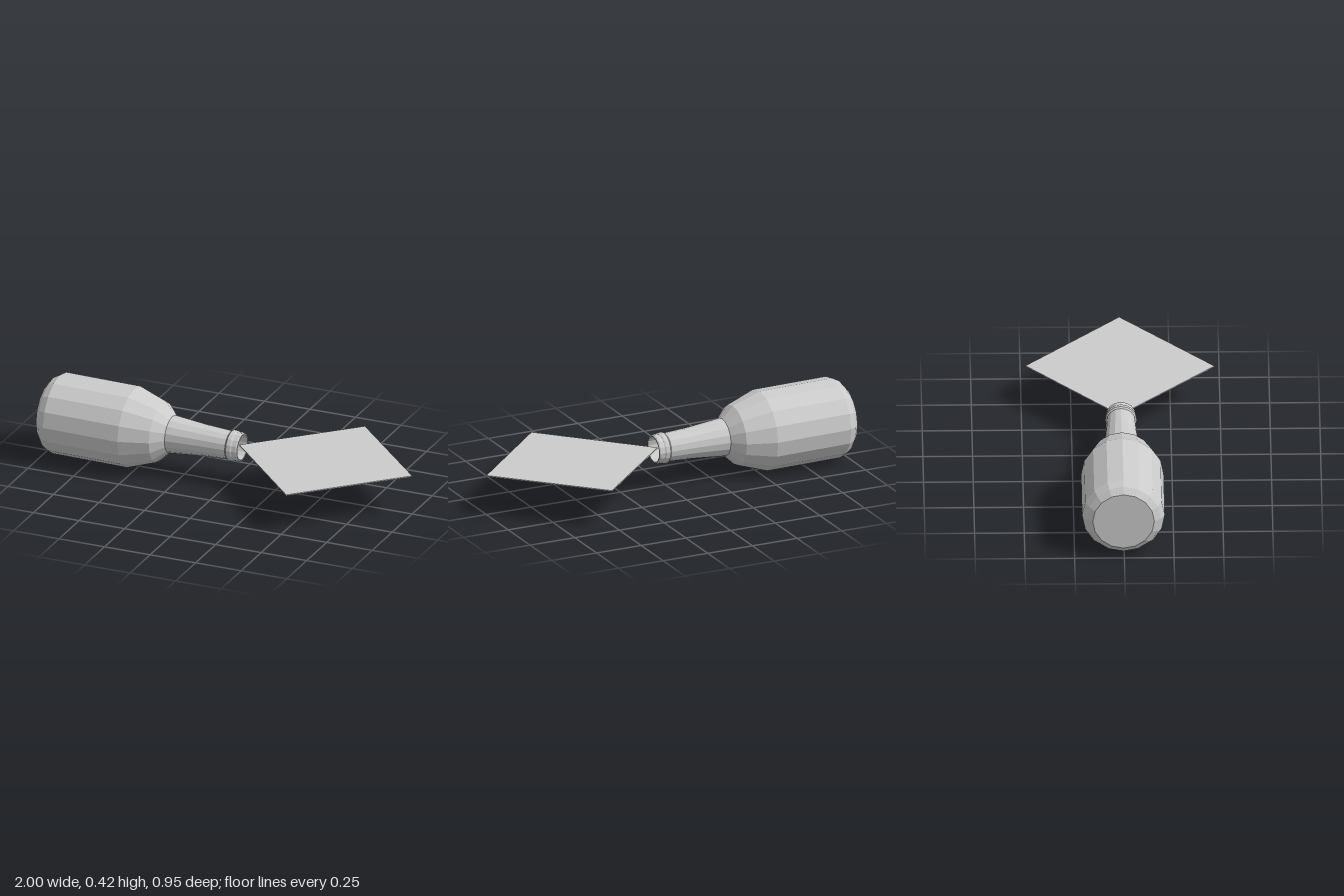
import * as THREE from 'three';

export function createModel() {
  const model = new THREE.Group();

  // Hollow bottle: [position along axis, radius], base to mouth, then the inside of the lip
  const profile = [
    [-1.0, 0], [-1.0, 0.155], [-0.975, 0.187], [-0.938, 0.208],
    [-0.53, 0.208], [-0.38, 0.156], [-0.32, 0.097],
    [-0.14, 0.08], [0, 0.073],
    [0.008, 0.08], [0.03, 0.079], [0.037, 0.075], [0.06, 0.075],
    [0.067, 0.071], [0.067, 0.065], [0.04, 0.064], [0, 0.066],
  ].map(([x, r]) => new THREE.Vector2(r, x));
  const bottle = new THREE.Mesh(
    new THREE.LatheGeometry(profile, 16),
    new THREE.MeshStandardMaterial({ color: 0xcccccc, flatShading: true, side: THREE.DoubleSide })
  );
  bottle.name = 'bottle';
  // Lying on its side with the mouth toward +x, dipping slightly
  bottle.rotation.z = -Math.PI / 2 - 0.013;
  bottle.position.set(0, 0.202, -0.004);
  model.add(bottle);

  // Thin square sheet, one corner tucked into the mouth
  const outline = new THREE.Shape(
    [[0.047, 0.009], [0.516, -0.473], [1, 0], [0.531, 0.477]].map(([x, y]) => new THREE.Vector2(x, y))
  );
  const thickness = 0.006;
  const sheet = new THREE.Mesh(
    new THREE.ExtrudeGeometry(outline, { depth: thickness, bevelEnabled: false }),
    new THREE.MeshStandardMaterial({ color: 0xcccccc, flatShading: true })
  );
  sheet.name = 'paperSheet';
  sheet.rotation.x = -Math.PI / 2;
  sheet.position.y = 0.207 - thickness / 2;
  model.add(sheet);

  return model;
}
